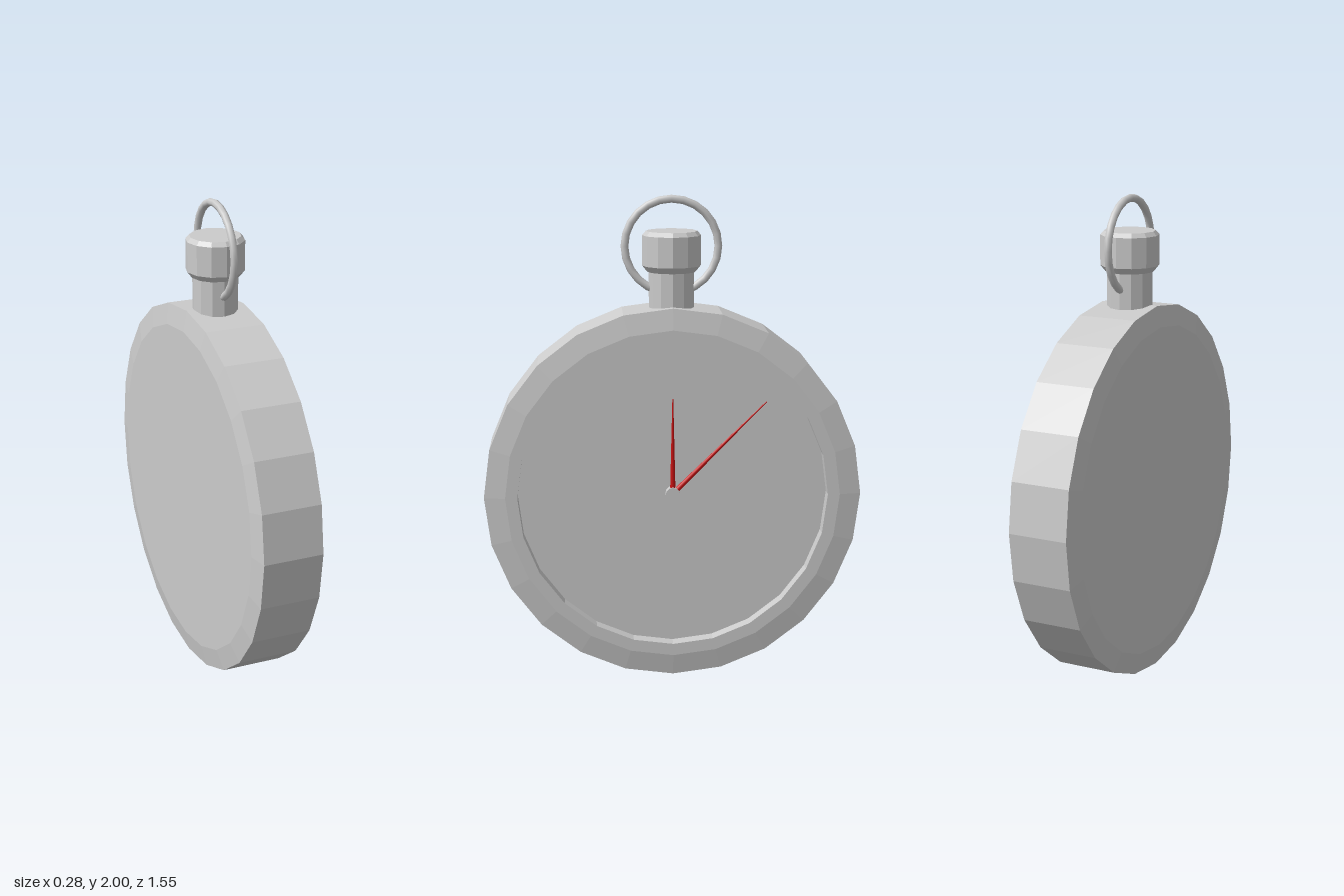
import * as THREE from 'three';

const CENTER_Y = 0.778;
const metal = new THREE.MeshStandardMaterial({ color: 0xcccccc, flatShading: true });
const red = new THREE.MeshStandardMaterial({ color: 0xcc1111 });

function lathe(name, profile, sides) {
  const points = profile.map(([r, h]) => new THREE.Vector2(r, h));
  const mesh = new THREE.Mesh(new THREE.LatheGeometry(points, sides), metal);
  mesh.name = name;
  return mesh;
}

// Slim tapered hand pointing outward from the pin, turned about the watch axis
function hand(name, length, angle, x) {
  const start = 0.02;
  const geometry = new THREE.CylinderGeometry(0.002, 0.011, length - start, 8);
  geometry.translate(0, (length + start) / 2, 0);
  const mesh = new THREE.Mesh(geometry, red);
  mesh.name = name;
  mesh.position.set(x, CENTER_Y, 0);
  mesh.rotation.x = angle;
  return mesh;
}

export function createModel() {
  const watch = new THREE.Group();
  watch.name = 'pocketWatch';

  // Case with bevelled rims and closed back; the face looks along +x
  const body = new THREE.Group();
  body.name = 'body';
  body.position.y = CENTER_Y;
  body.rotation.z = -Math.PI / 2;
  body.add(lathe('case', [
    [0, -0.14], [0.69, -0.14], [0.777, -0.125], [0.777, 0.125],
    [0.69, 0.14], [0.64, 0.14], [0.64, 0.08],
  ], 24));
  body.add(lathe('dial', [[0.64, 0.08], [0, 0.08]], 24));

  // Centre pin
  const pin = new THREE.Mesh(new THREE.CylinderGeometry(0.03, 0.03, 0.04, 12), metal);
  pin.name = 'centerPin';
  pin.position.y = 0.093;
  body.add(pin);
  watch.add(body);

  // Hands
  watch.add(hand('hourHand', 0.4, 0, 0.098));
  watch.add(hand('minuteHand', 0.545, -Math.PI / 4, 0.098));

  // Neck and winding crown
  watch.add(lathe('neck', [[0.093, 1.5], [0.093, 1.72]], 12));
  watch.add(lathe('crown', [
    [0, 1.69], [0.1, 1.69], [0.12, 1.715], [0.12, 1.838], [0.105, 1.855], [0, 1.855],
  ], 12));

  // Chain ring passing through the neck
  const ring = new THREE.Mesh(
    new THREE.TorusGeometry(0.191, 0.016, 8, 24),
    new THREE.MeshStandardMaterial({ color: 0xcccccc }),
  );
  ring.name = 'bow';
  ring.position.y = 1.793;
  ring.rotation.y = Math.PI / 2;
  watch.add(ring);

  return watch;
}
